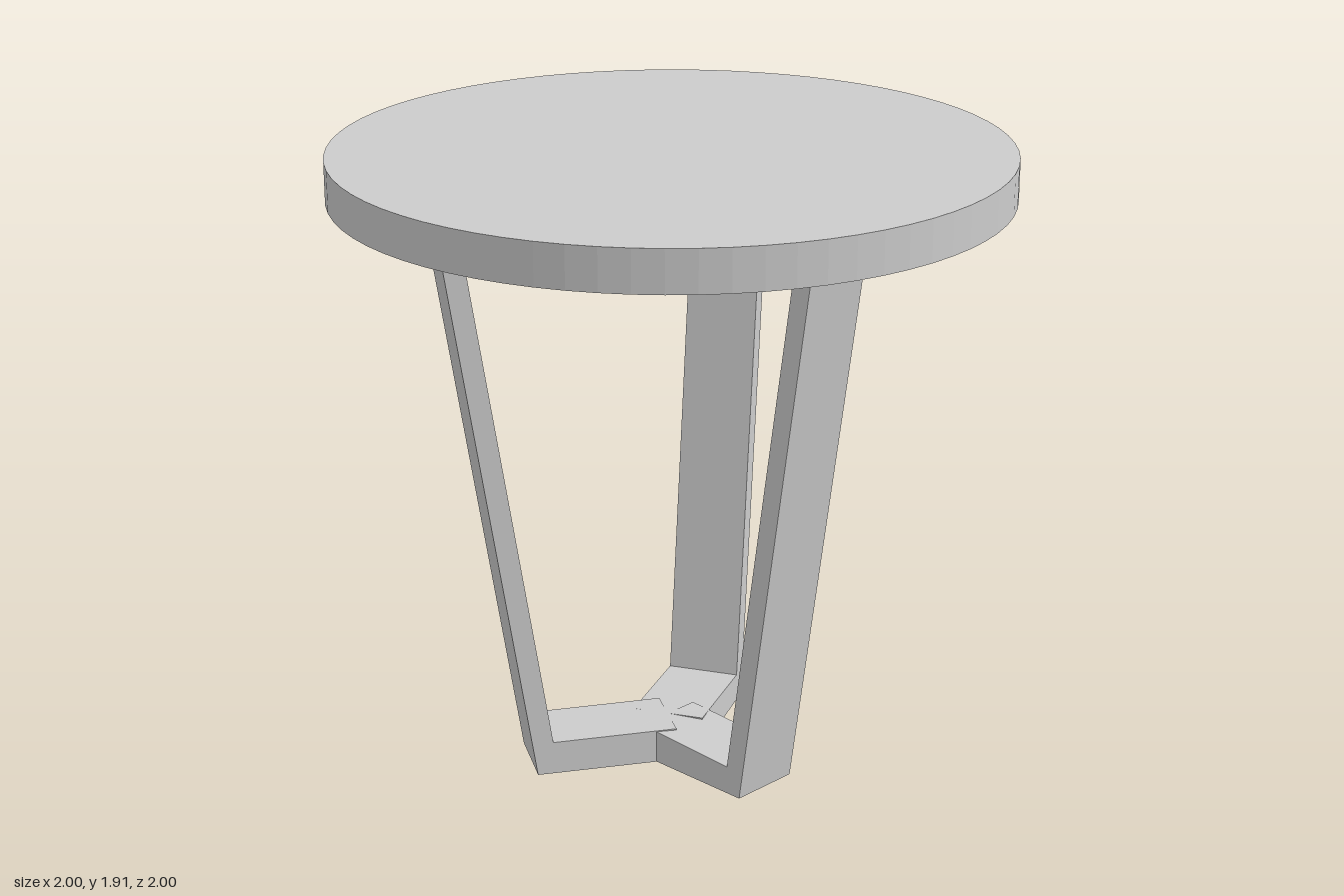
import * as THREE from 'three';

const material = new THREE.MeshStandardMaterial({ color: 0xcccccc, flatShading: true });
const CEILING = 1.85;   // underside of the recessed top
const WIDTH = 0.225;    // width of the leg boards
const THICK = 0.065;    // thickness of the leg boards

// Round top with a rim around a recessed underside
function createTop() {
  const profile = [
    [0, CEILING], [0.95, CEILING], [0.95, 1.79], [1, 1.79], [1, 1.915], [0, 1.915],
  ].map(([r, y]) => new THREE.Vector2(r, y));
  const top = new THREE.Mesh(new THREE.LatheGeometry(profile, 72), material);
  top.name = 'tableTop';
  return top;
}

// Slanted leg and its foot arm as one radial profile, extruded to board width
function createLeg({ name, angle, foot, head, armHeight, hasTopArm }) {
  const lean = (head - foot) / 1.79;
  const outer = (y) => foot + lean * y;
  const inner = (y) => outer(y) - THICK;
  const points = [[0, 0], [foot, 0], [outer(CEILING), CEILING]];
  if (hasTopArm) points.push([0.005, CEILING], [0.005, 1.69], [inner(1.69), 1.69]);
  else points.push([inner(CEILING), CEILING]);
  points.push([inner(armHeight), armHeight], [0, 0.105]);

  const shape = new THREE.Shape(points.map(([r, y]) => new THREE.Vector2(r, y)));
  const geometry = new THREE.ExtrudeGeometry(shape, { depth: WIDTH, bevelEnabled: false });
  geometry.translate(0, 0, -WIDTH / 2);
  geometry.rotateY(THREE.MathUtils.degToRad(angle - 90));
  const leg = new THREE.Mesh(geometry, material);
  leg.name = name;
  return leg;
}

export function createModel() {
  const model = new THREE.Group();
  model.name = 'sideTable';
  model.add(createTop());

  // Three legs meeting in a Y on the floor; one also carries an arm under the top
  const base = new THREE.Group();
  base.name = 'base';
  base.position.z = -0.02;
  const legs = [
    { name: 'frontLeg', angle: 6.5, foot: 0.412, head: 0.68, armHeight: 0.088 },
    { name: 'backLeftLeg', angle: 123, foot: 0.42, head: 0.685, armHeight: 0.088, hasTopArm: true },
    { name: 'backRightLeg', angle: 245, foot: 0.436, head: 0.71, armHeight: 0.104 },
  ];
  for (const leg of legs) base.add(createLeg(leg));
  model.add(base);
  return model;
}
